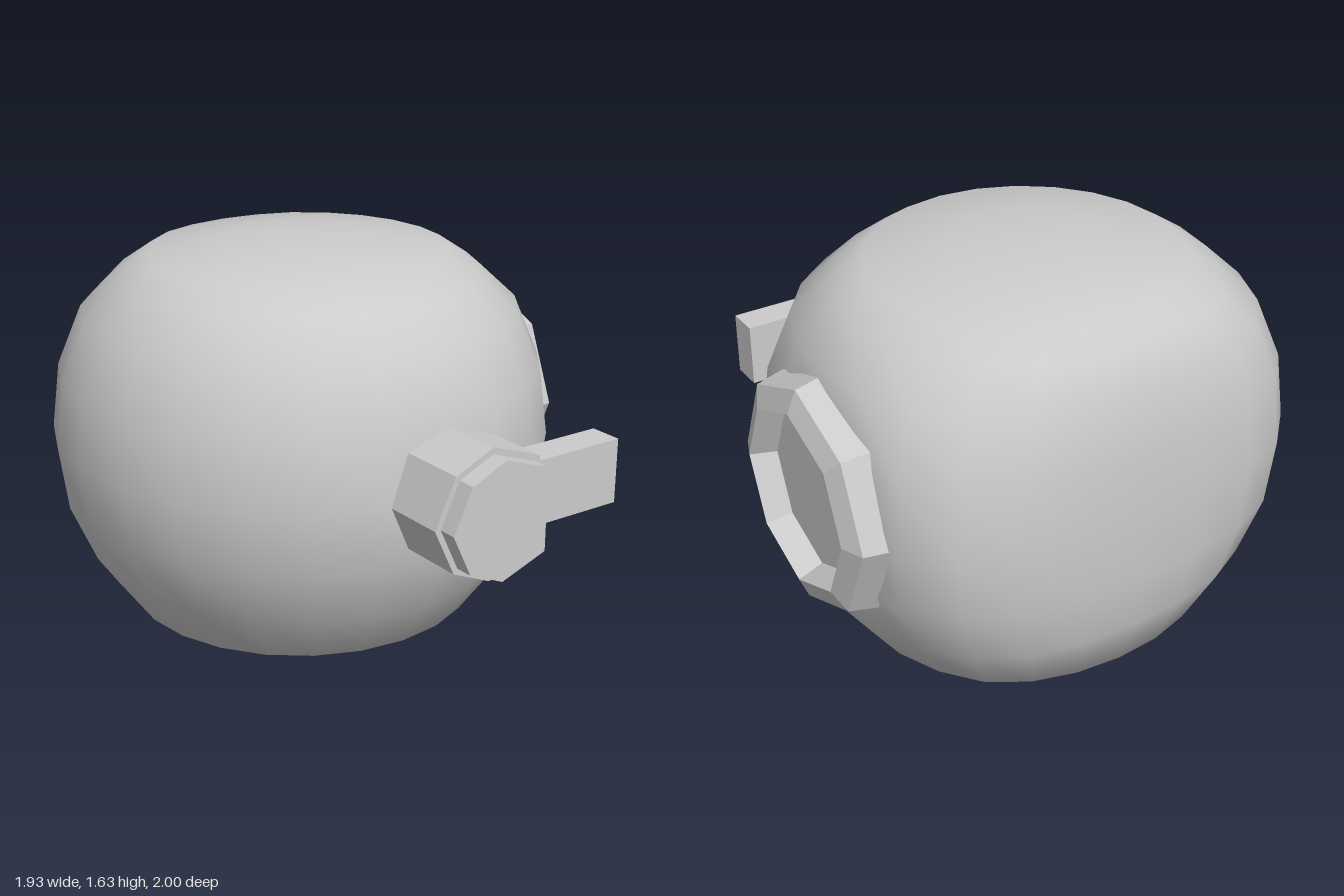
import * as THREE from 'three';
import { mergeVertices } from 'three/addons/utils/BufferGeometryUtils.js';

const smooth = new THREE.MeshStandardMaterial({ color: 0xcccccc });
const flat = new THREE.MeshStandardMaterial({ color: 0xcccccc, flatShading: true });
const CY = 0.875, CZ = -0.25;

function addMesh(group, name, geometry, material, x = 0, y = 0, z = 0) {
  const mesh = new THREE.Mesh(geometry, material);
  mesh.name = name;
  mesh.position.set(x, y, z);
  group.add(mesh);
  return mesh;
}

const profile = (pts) => pts.map(([x, y]) => new THREE.Vector2(x, y));

// Squeezes the outer part of a radius so the back becomes flatter
function squeeze(s) {
  if (s < 0.485) return s;
  const t = Math.min(1, (s - 0.485) / 0.485);
  return 0.485 + 0.265 * (1 - Math.pow(1 - t, 1.6));
}

// Round shell: a turned profile, flattened at the front, back and port side
function shellGeometry() {
  let g = new THREE.LatheGeometry(profile([
    [0.25, 0], [0.485, 0.12], [0.69, 0.18], [0.84, 0.39], [0.937, 0.62], [0.97, CY],
    [0.937, 1.13], [0.84, 1.36], [0.7, 1.49], [0.58, 1.57], [0.29, 1.61], [0, 1.63],
  ]), 24);
  const p = g.attributes.position;
  for (let i = 0; i < p.count; i++) {
    const z = p.getZ(i);
    p.setX(i, Math.min(p.getX(i), 0.86));
    p.setZ(i, CZ + (z > 0 ? Math.min(z, 0.94) : -squeeze(-z)));
  }
  g.deleteAttribute('uv');
  g.deleteAttribute('normal');
  g = mergeVertices(g, 1e-4);
  g.computeVertexNormals();
  return g;
}

// Octagonal prism with one corner cut off to a flat side
function knobGeometry(scale, depth) {
  const outline = profile([
    [0, -0.25], [0.21, -0.175], [0.21, 0.175], [0, 0.25],
    [-0.16, 0.18], [-0.245, 0], [-0.16, -0.18],
  ].map(([x, y]) => [x * scale, y * scale]));
  return new THREE.ExtrudeGeometry(new THREE.Shape(outline), { depth, bevelEnabled: false });
}

export function createModel() {
  const model = new THREE.Group();
  model.name = 'roundVessel';

  addMesh(model, 'shell', shellGeometry(), smooth);
  const base = addMesh(model, 'baseDisc', new THREE.CircleGeometry(0.25, 24), smooth, 0, 0, CZ);
  base.rotation.x = Math.PI / 2;

  // Side port: flared octagonal rim with a recessed floor
  const port = addMesh(model, 'sidePort', new THREE.LatheGeometry(profile([
    [0.455, 0.82], [0.43, 0.93], [0.345, 0.965], [0.31, 0.87], [0, 0.87],
  ]), 8), flat, 0, CY, CZ);
  port.rotation.z = -Math.PI / 2;

  // Front knob, its raised cap and the handle
  addMesh(model, 'knob', knobGeometry(1, 0.33), flat, 0, CY, 0.6);
  addMesh(model, 'knobCap', knobGeometry(0.9, 0.07), flat, 0, CY, 0.93);
  addMesh(model, 'handle', new THREE.BoxGeometry(0.44, 0.25, 0.13), flat, 0.417, CY, 0.81);

  return model;
}
